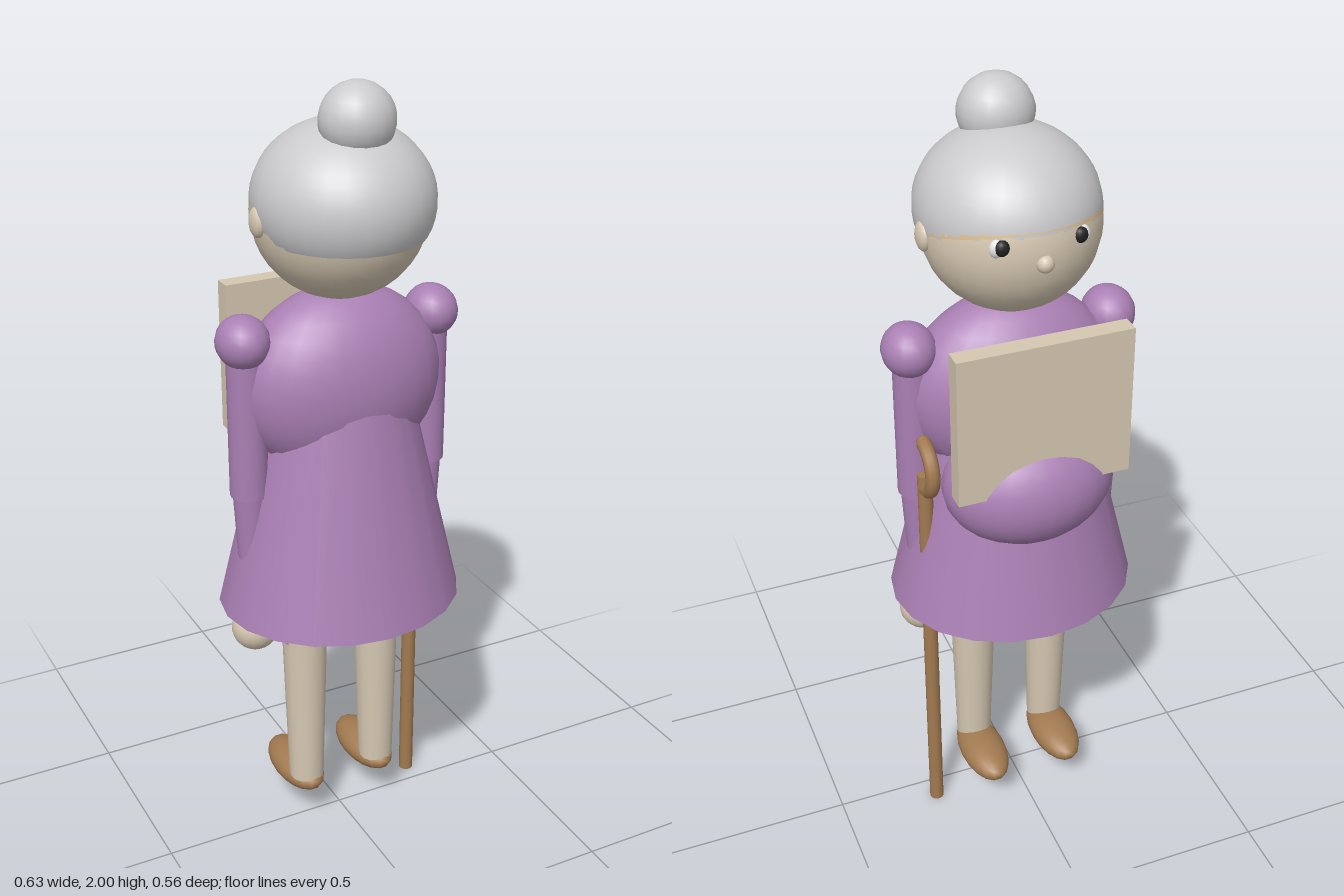
import * as THREE from 'three';

export function createModel() {
  const root = new THREE.Group();
  root.name = 'oldWoman';
  const mat = (name, color) => {
    const m = new THREE.MeshStandardMaterial({ color });
    m.name = name;
    return m;
  };
  const purple = mat('purple cloth', 0xaa80b4);
  const skin = mat('skin', 0xd6c8b2);
  const tan = mat('tan scalp', 0xd8bb90);
  const grey = mat('grey hair', 0xcbcbcd);
  const brown = mat('brown wood and leather', 0xa27a50);
  const white = mat('eye white', 0xe8e8e8);
  const black = mat('pupil black', 0x222222);

  const add = (name, geo, material, x = 0, y = 0, z = 0) => {
    const m = new THREE.Mesh(geo, material);
    m.name = name;
    m.position.set(x, y, z);
    root.add(m);
    return m;
  };
  const ball = (name, material, p, r, seg = 20) => {
    const m = add(name, new THREE.SphereGeometry(1, seg, Math.round(seg * 0.7)), material, ...p);
    m.scale.set(...r);
    return m;
  };
  // Tapered limb between two points
  const limb = (name, material, a, b, ra, rb, seg = 16) => {
    const A = new THREE.Vector3(...a), B = new THREE.Vector3(...b);
    const m = add(name, new THREE.CylinderGeometry(ra, rb, A.distanceTo(B), seg), material);
    m.position.copy(A).add(B).multiplyScalar(0.5);
    m.quaternion.setFromUnitVectors(new THREE.Vector3(0, 1, 0), A.sub(B).normalize());
    return m;
  };

  // Head, scalp edge, hair cap and bun
  ball('head', skin, [0, 1.69, 0], [0.21, 0.207, 0.21], 28);
  const scalp = add('scalp', new THREE.SphereGeometry(0.2105, 28, 12, 0, Math.PI * 2, 0, Math.PI / 2), tan, 0, 1.69, 0);
  scalp.scale.y = 0.988;
  scalp.rotation.x = 0.27;
  const hairMat = grey.clone();
  hairMat.side = THREE.DoubleSide;
  const hair = add('hair', new THREE.SphereGeometry(1, 28, 16, 0, Math.PI * 2, 0, 2.017), hairMat, 0, 1.72, 0.02);
  hair.scale.set(0.215, 0.187, 0.225);
  ball('hairBun', hairMat, [0, 1.913, 0.088], [0.09, 0.088, 0.085], 18);

  // Face
  ball('nose', skin, [0, 1.675, -0.207], [0.021, 0.021, 0.02], 12);
  for (const s of [1, -1]) {
    ball('ear', skin, [s * 0.208, 1.685, 0], [0.017, 0.036, 0.031], 14);
    ball('eyeWhite', white, [s * 0.1, 1.715, -0.176], [0.018, 0.022, 0.014], 12);
    ball('pupil', black, [s * 0.091, 1.718, -0.185], [0.018, 0.019, 0.013], 12);
  }

  // Torso, belly and flared skirt
  ball('torso', purple, [0, 1.27, 0], [0.265, 0.24, 0.165], 24);
  ball('belly', purple, [0, 1.06, -0.115], [0.215, 0.165, 0.162], 24);
  const skirt = add('skirt', new THREE.CylinderGeometry(0.545, 1, 0.59, 20), purple, 0, 0.977, 0);
  skirt.scale.set(0.315, 1, 0.281);

  // Arms, legs and feet
  for (const s of [1, -1]) {
    ball('shoulder', purple, [s * 0.252, 1.405, 0], [0.065, 0.065, 0.073], 18);
    limb('upperArm', purple, [s * 0.245, 1.4, 0], [s * 0.245, 1.01, 0], 0.048, 0.048);
    limb('forearm', purple, [s * 0.244, 1.03, 0], [s * 0.24, 0.67, 0], 0.043, 0.028);
    ball('hand', skin, [s * 0.241, 0.637, 0.005], [0.061, 0.061, 0.059], 18);
    limb('trouserLeg', purple, [s * 0.105, 0.8, 0], [s * 0.104, 0.565, 0], 0.064, 0.06);
    limb('lowerLeg', skin, [s * 0.104, 0.6, 0.006], [s * 0.105, 0.14, 0.012], 0.059, 0.046);
    ball('shoe', brown, [s * 0.105, 0.13, -0.057], [0.061, 0.043, 0.125], 18);
  }

  // Walking cane with a hooked handle
  limb('caneShaft', brown, [0.243, 1.09, -0.057], [0.243, 0, -0.057], 0.019, 0.019, 12);
  const hook = new THREE.TorusGeometry(0.064, 0.018, 10, 18, Math.PI);
  hook.rotateZ(-Math.PI / 2).rotateY(Math.PI / 2);
  add('caneHook', hook, brown, 0.243, 1.115, -0.057);
  for (const s of [1, -1])
    ball('hookEnd', brown, [0.243, 1.115 + s * 0.064, -0.057], [0.018, 0.018, 0.018], 10);

  // Flat panel carried against the chest
  add('panel', new THREE.BoxGeometry(0.432, 0.385, 0.048), skin, 0, 1.29, -0.202);

  return root;
}
